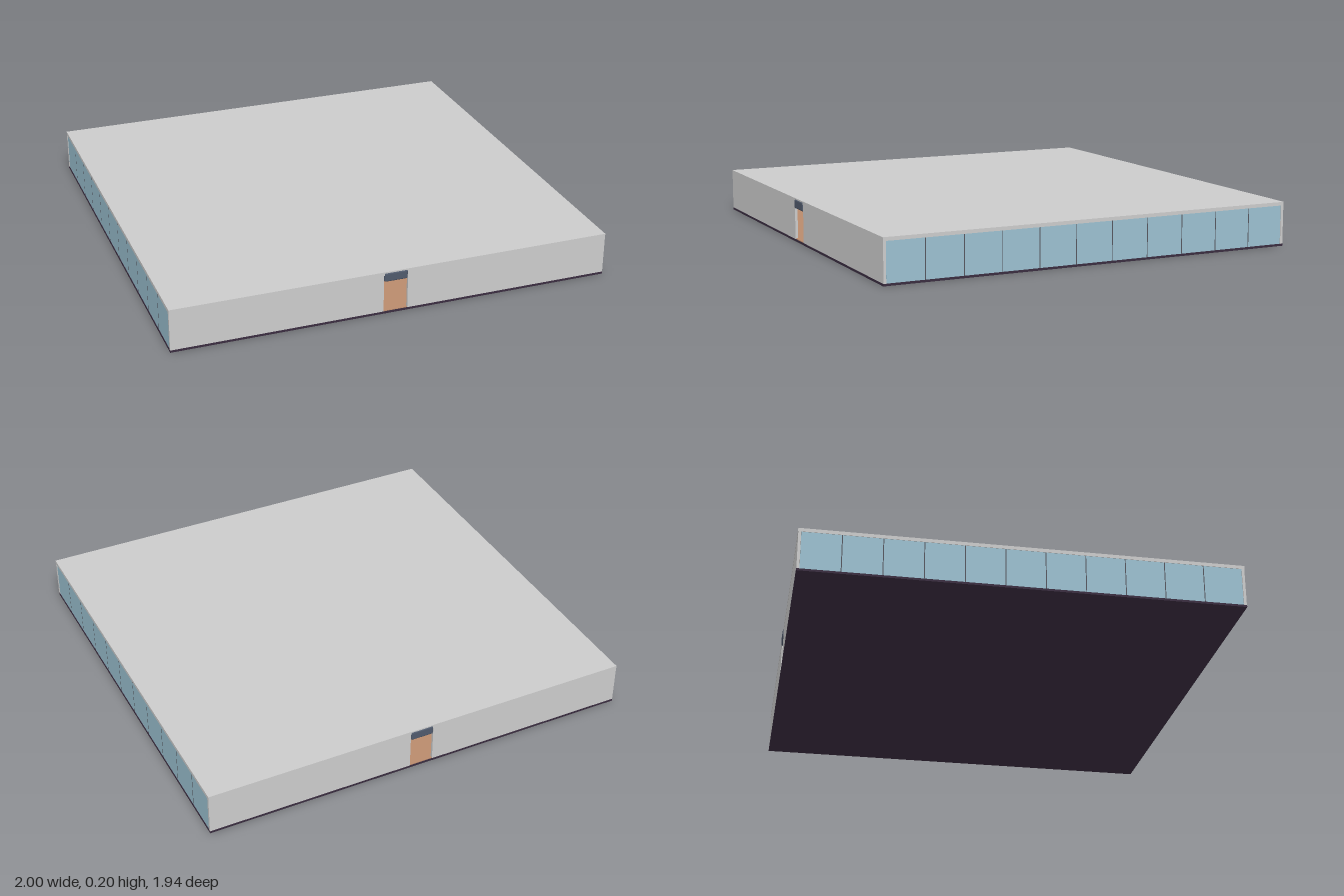
import * as THREE from 'three';
import { RoundedBoxGeometry } from 'three/addons/geometries/RoundedBoxGeometry.js';

const W = 2, D = 1.93, WALL = 0.012;

export function createModel() {
  const group = new THREE.Group();
  const mat = (color) => new THREE.MeshStandardMaterial({ color });
  const grey = mat(0xcccccc), purple = mat(0x3a2d40), tan = mat(0xb98a6c);
  const glass = mat(0x9bc0d0), slate = mat(0x505a6c), frame = mat(0x55565e);

  const add = (name, geometry, material, x, y, z) => {
    const mesh = new THREE.Mesh(geometry, material);
    mesh.name = name;
    mesh.position.set(x, y, z);
    group.add(mesh);
    return mesh;
  };
  // box spanning y0..y1
  const box = (name, material, w, d, y0, y1, x, z) =>
    add(name, new THREE.BoxGeometry(w, y1 - y0, d), material, x, (y0 + y1) / 2, z);

  // base, interior floor and flat roof
  box('baseSlab', purple, W, D, 0, 0.01, 0, 0);
  box('interiorFloor', tan, W - 0.03, D - 0.004, 0.01, 0.013, 0, 0);
  box('roof', grey, W, D, 0.184, 0.2, 0, 0);

  // front and back walls, each with a central doorway
  const half = W / 2, door = 0.055;
  const outline = new THREE.Shape([
    [-half, 0.01], [-door, 0.01], [-door, 0.184], [door, 0.184],
    [door, 0.01], [half, 0.01], [half, 0.192], [-half, 0.192],
  ].map(([x, y]) => new THREE.Vector2(x, y)));
  const wallGeo = new THREE.ExtrudeGeometry(outline, { depth: WALL, bevelEnabled: false });
  for (const s of [1, -1]) {
    const side = s > 0 ? 'front' : 'back';
    const wall = add(side + 'Wall', wallGeo, grey, 0, 0, s * (D / 2 - WALL - 0.001));
    if (s < 0) wall.rotation.y = Math.PI;

    // rounded canopy box over the doorway
    add(side + 'DoorCanopy', new RoundedBoxGeometry(0.108, 0.042, 0.03, 3, 0.007),
      slate, 0, 0.174, s * (D / 2 - 0.012));
  }

  // glazed left and right sides: eleven panes with thin posts between
  const panes = 11, span = D - 2 * WALL, step = span / panes;
  for (const s of [1, -1]) {
    const side = s > 0 ? 'left' : 'right';
    for (let i = 0; i < panes; i++) {
      const z = -span / 2 + step * (i + 0.5);
      box(side + 'Pane', glass, 0.006, step - 0.004, 0.01, 0.184, s * (half - 0.005), z);
      if (i) box(side + 'Post', frame, 0.006, 0.004, 0.01, 0.184, s * (half - 0.005), z - step / 2);
    }
  }
  return group;
}
